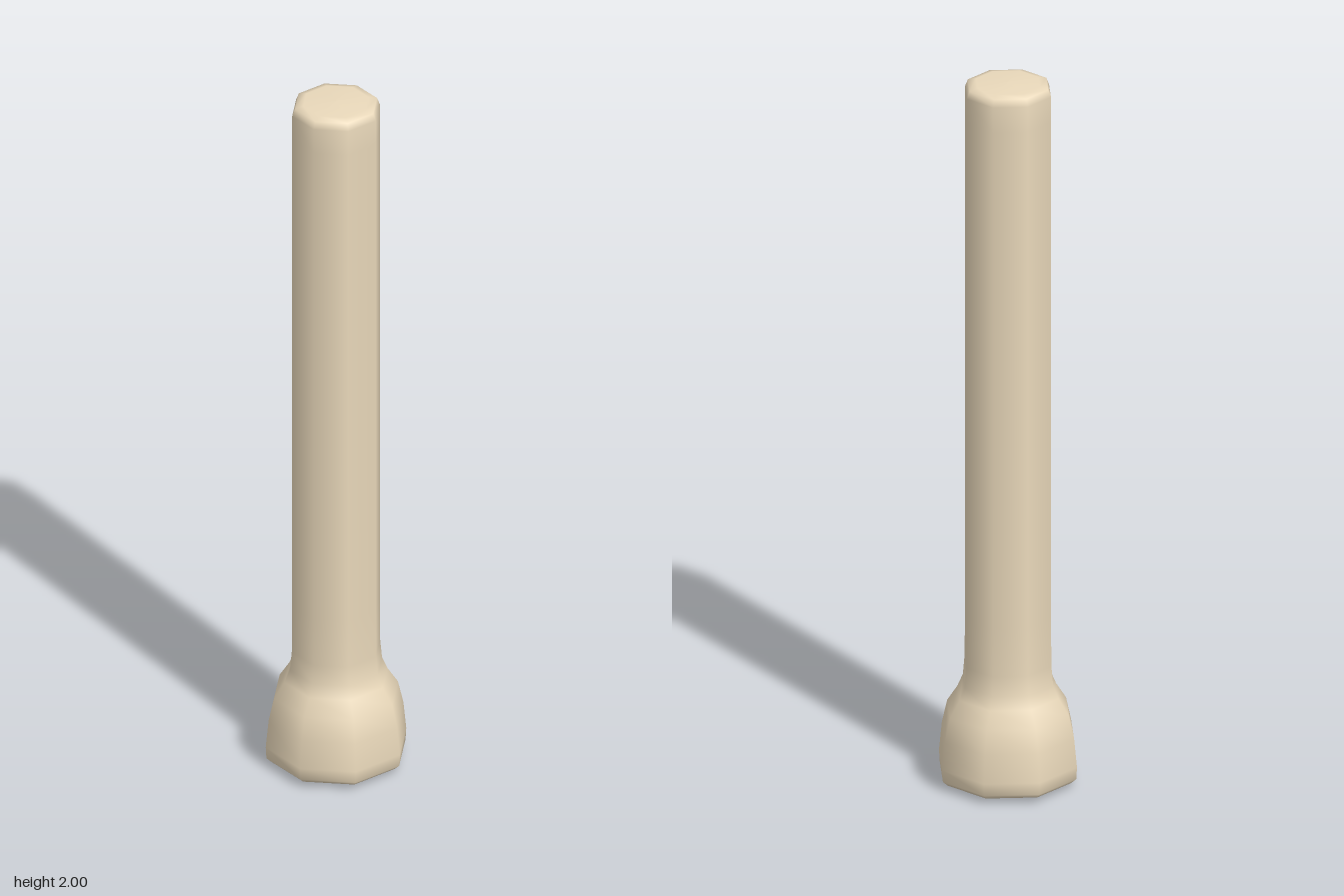
import * as THREE from 'three';

const SIDES = 8;

export function createModel() {
  const group = new THREE.Group();
  group.name = 'flaredPost';
  const material = new THREE.MeshStandardMaterial({ color: 0xead9bb });

  // Turns a [radius, height] profile into an eight-sided smooth solid
  const turn = (name, profile) => {
    const points = profile.map(([r, y]) => new THREE.Vector2(r, y));
    const mesh = new THREE.Mesh(new THREE.LatheGeometry(points, SIDES), material);
    mesh.name = name;
    group.add(mesh);
  };

  // Flared foot, bevelled underside and long straight shaft as one surface
  turn('flaredShaft', [
    [0, 0], [0.13, 0.004], [0.178, 0.013], [0.192, 0.026],
    [0.194, 0.06], [0.186, 0.14], [0.171, 0.205], [0.142, 0.25],
    [0.127, 0.285], [0.122, 0.34], [0.121, 0.48], [0.121, 1.0],
    [0.121, 1.9], [0.121, 1.972], [0.113, 1.992], [0.09, 1.998], [0, 2],
  ]);

  return group;
}
